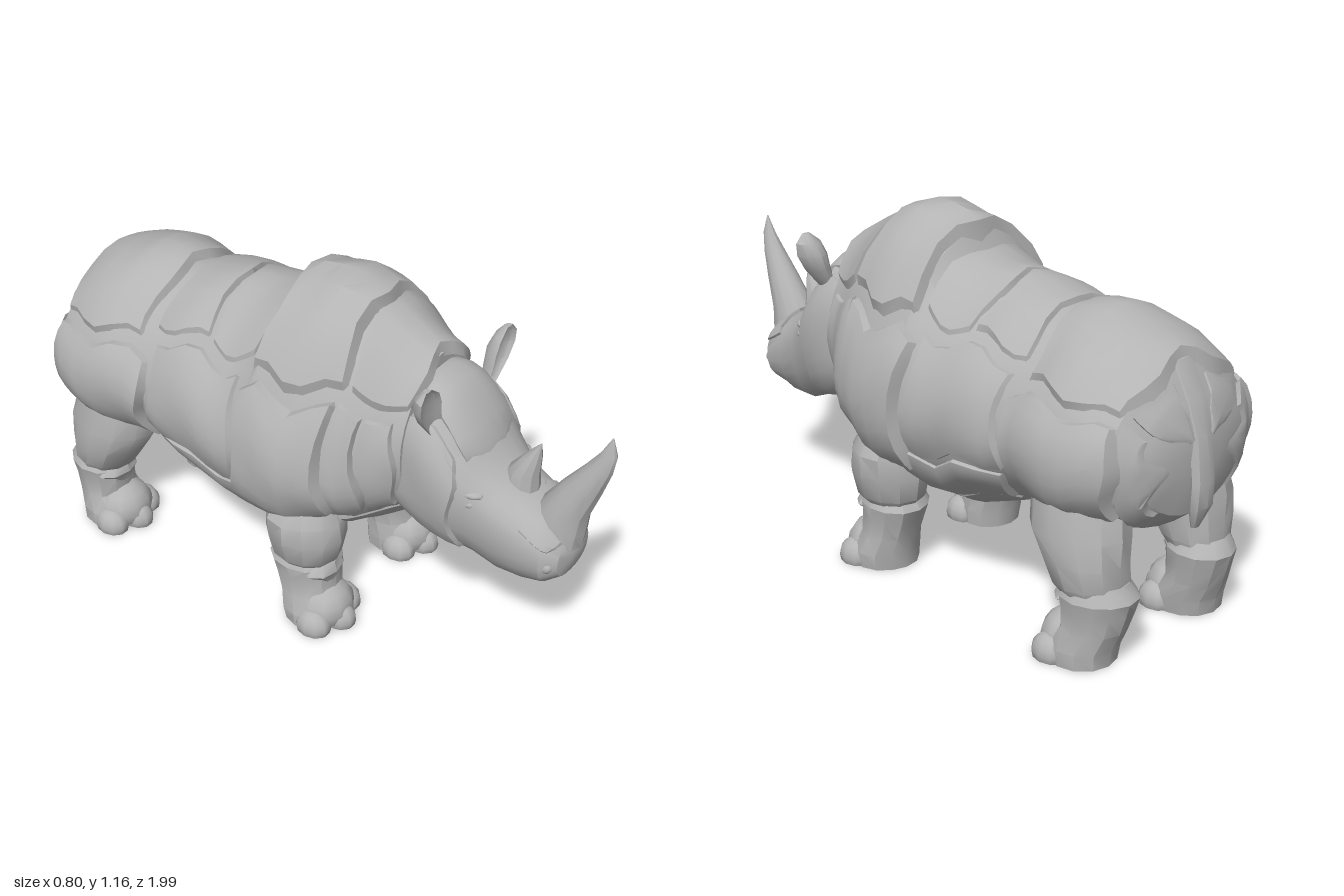
import * as THREE from 'three';
import { toCreasedNormals } from 'three/addons/utils/BufferGeometryUtils.js';

const stone = new THREE.MeshStandardMaterial({ color: 0xb4b4b4, side: THREE.DoubleSide });
stone.name = 'stone grey';

// Left-right symmetric unevenness of the stone skin
const bump = (x, y, z) => 0.006 * Math.sin(17 * Math.abs(x) + 11 * y) * Math.sin(19 * z + 9 * y + 1);

// Skin a grid of points (rows of equal length)
function skin(rows, crease = 0.55) {
  const n = rows[0].length, index = [];
  for (let i = 0; i < rows.length - 1; i++) {
    for (let j = 0; j < n - 1; j++) {
      const a = i * n + j, b = a + n;
      index.push(a, a + 1, b, a + 1, b + 1, b);
    }
  }
  const g = new THREE.BufferGeometry();
  g.setAttribute('position', new THREE.Float32BufferAttribute(rows.flat(2), 3));
  g.setIndex(index);
  return toCreasedNormals(g, crease);
}

// Mirror a non-indexed geometry in x and restore the corner order
function mirrored(g) {
  const m = g.clone().scale(-1, 1, 1);
  for (const name of ['position', 'normal']) {
    const a = m.attributes[name];
    for (let i = 0; i < a.count; i += 3) {
      const p = [a.getX(i + 1), a.getY(i + 1), a.getZ(i + 1)];
      a.setXYZ(i + 1, a.getX(i + 2), a.getY(i + 2), a.getZ(i + 2));
      a.setXYZ(i + 2, ...p);
    }
  }
  return m;
}

// Cross-sections, front to back: [z, bottom, top, half width, height of widest point]
const BODY = [
  [0.40, 0.46, 0.97, 0.21, 0.70], [0.32, 0.40, 1.02, 0.24, 0.66], [0.24, 0.35, 1.07, 0.30, 0.62],
  [0.08, 0.28, 1.12, 0.35, 0.59], [-0.07, 0.255, 1.09, 0.36, 0.59], [-0.10, 0.25, 1.03, 0.36, 0.60],
  [-0.20, 0.25, 1.00, 0.355, 0.60], [-0.40, 0.32, 0.98, 0.34, 0.62], [-0.52, 0.37, 0.95, 0.32, 0.62],
  [-0.65, 0.36, 0.97, 0.34, 0.63], [-0.80, 0.37, 0.93, 0.34, 0.63], [-0.88, 0.39, 0.89, 0.305, 0.63],
  [-0.94, 0.44, 0.79, 0.22, 0.63], [-0.965, 0.54, 0.70, 0.08, 0.63]];
const HEAD = [
  [0.90, 0.45, 0.49, 0.03, 0.47], [0.885, 0.40, 0.54, 0.09, 0.47], [0.84, 0.36, 0.585, 0.125, 0.48],
  [0.76, 0.34, 0.63, 0.13, 0.50], [0.68, 0.345, 0.665, 0.145, 0.54], [0.60, 0.37, 0.75, 0.17, 0.60],
  [0.53, 0.38, 0.86, 0.19, 0.64], [0.46, 0.40, 0.92, 0.195, 0.66], [0.34, 0.45, 0.92, 0.18, 0.66]];

// Point on the surface of a section table at length z and angle a (0 = top)
function surface(table, round, taper) {
  return (z, a, lift = 0) => {
    let i = 0;
    while (i < table.length - 2 && z < table[i + 1][0]) i++;
    const t = THREE.MathUtils.clamp((table[i][0] - z) / (table[i][0] - table[i + 1][0]), 0, 1);
    const [, bot, top, w, mid] = table[i].map((v, k) => THREE.MathUtils.lerp(v, table[i + 1][k], t));
    const s = Math.sin(a), c = Math.cos(a);
    const x = (w + lift) * Math.sign(s) * Math.abs(s) ** round * (c > 0 ? 1 - taper * c * c : 1);
    const y = mid + ((c > 0 ? top - mid : mid - bot) + lift) * Math.sign(c) * Math.abs(c) ** round;
    const k = 1 + bump(x, y, z) / Math.max(w, 0.1);
    return [x * k, mid + (y - mid) * k, z];
  };
}
const bodyAt = surface(BODY, 1, 0.16), headAt = surface(HEAD, 0.85, 0);

// Closed shell through every section
function shell(table, at, sides) {
  const rings = table.map(([z]) =>
    Array.from({ length: sides + 1 }, (_, j) => at(z, j / sides * Math.PI * 2)));
  const cap = ([z, , , , mid]) => Array(sides + 1).fill([0, mid, z]);
  return skin([cap(table[0]), ...rings, cap(table.at(-1))]);
}

// Raised slab over part of a surface, with a wavy outline and a bevelled rim
function plate(at, z0, z1, a0, a1, lift, nz = 5, na = 8) {
  const steps = n => [0, 0.04, ...Array.from({ length: n - 1 }, (_, i) => (i + 1) / n), 0.96, 1];
  const rad = Math.PI / 180, us = steps(nz), vs = steps(na);
  const across = a0 < 0 || a1 > 180, centre = (a0 + a1) / 2;
  return skin(us.map(u => vs.map(v => {
    const a = a0 + (a1 - a0) * v, q = Math.abs(across ? a - centre : a);
    const edge = z0 + (z1 - z0) * u;
    const z = edge + 0.013 * Math.sin(q * 0.1 + edge * 12) * Math.abs(2 * u - 1);
    const da = 4 * Math.sin(z * 24) * (across ? (centre > 90 ? 1 - 2 * v : 2 * v - 1) : 1);
    const rim = u === 0 || u === 1 || v === 0 || v === 1;
    return at(z, (a + da) * rad, rim ? -0.012 : lift * (1 - 0.55 * Math.abs(2 * v - 1) ** 3));
  })));
}

// Upright form from rings, bottom to top: [y, x, z, half width, half depth]
function column(rings, sides = 12, rough = 1, hollow = false) {
  const all = [[...rings[0].slice(0, 3), 0, 0], ...rings, [...rings.at(-1).slice(0, 3), 0, 0]];
  return skin(all.map(([y, x, z, rx, rz]) => Array.from({ length: sides + 1 }, (_, j) => {
    const a = j / sides * Math.PI * 2, c = Math.cos(a);
    const k = 1 + rough * 10 * bump(x + rx * Math.sin(a), y, z + rz * c);
    return [x + rx * Math.sin(a) * k, y, z + rz * (hollow && c > 0 ? -0.5 * c : c) * k];
  })));
}

export function createModel() {
  const model = new THREE.Group();
  const add = (name, geometry, parent = model) => {
    const m = new THREE.Mesh(geometry, stone);
    m.name = name;
    parent.add(m);
  };
  const pair = (name, geometry, parent) => {
    add('left' + name, geometry, parent);
    add('right' + name, mirrored(geometry), parent);
  };

  // Trunk and its armour
  add('body', shell(BODY, bodyAt, 28));
  add('napePlate', plate(bodyAt, 0.41, 0.225, -56, 56, 0.03));
  add('humpPlate', plate(bodyAt, 0.215, -0.08, -58, 58, 0.042));
  add('frontBackPlate', plate(bodyAt, -0.10, -0.295, -50, 50, 0.018));
  add('rearBackPlate', plate(bodyAt, -0.305, -0.50, -50, 50, 0.02));
  add('rumpPlate', plate(bodyAt, -0.535, -0.90, -62, 62, 0.028, 6, 10));
  add('bellyPlate', plate(bodyAt, 0.15, -0.46, 141, 219, 0.006));
  add('throatPlate', plate(bodyAt, 0.38, 0.18, 135, 225, 0.01));
  pair('NeckPlate', plate(bodyAt, 0.38, 0.295, 59, 132, 0.02));
  pair('CollarPlate', plate(bodyAt, 0.285, 0.205, 60, 128, 0.022));
  pair('ShoulderPlate', plate(bodyAt, 0.20, -0.11, 61, 127, 0.042));
  pair('FlankPlate', plate(bodyAt, -0.12, -0.49, 53, 111, 0.02, 6));
  pair('LowerFlankPlate', plate(bodyAt, -0.04, -0.48, 113, 139, 0.014));
  pair('ThighPlate', plate(bodyAt, -0.505, -0.895, 65, 134, 0.036, 6));
  pair('HindPlate', plate(bodyAt, -0.90, -0.945, 60, 140, 0.025));
  pair('ButtockPlate', plate(bodyAt, -0.905, -0.958, 16, 56, 0.015));

  // Tail
  add('tail', column([[0.40, 0, -0.955, 0.015, 0.01], [0.47, 0, -0.972, 0.045, 0.024],
    [0.55, 0, -0.974, 0.045, 0.026], [0.68, 0, -0.955, 0.04, 0.028], [0.79, 0, -0.92, 0.055, 0.03],
    [0.89, 0, -0.86, 0.05, 0.03]], 8));

  // Head and its armour
  const head = new THREE.Group();
  head.name = 'head';
  model.add(head);
  add('skull', shell(HEAD, headAt, 22), head);
  add('foreheadPlate', plate(headAt, 0.60, 0.39, -42, 42, 0.012), head);
  add('nosePlate', plate(headAt, 0.87, 0.76, -68, 68, 0.012), head);
  pair('CheekPlate', plate(headAt, 0.57, 0.36, 48, 140, 0.014), head);

  // Horns
  add('frontHorn', column([[0.50, 0, 0.825, 0.08, 0.085], [0.55, 0, 0.83, 0.078, 0.088],
    [0.62, 0, 0.845, 0.068, 0.08], [0.72, 0, 0.898, 0.05, 0.062], [0.80, 0, 0.942, 0.033, 0.043],
    [0.86, 0, 0.968, 0.018, 0.026], [0.92, 0, 0.975, 0.002, 0.002]], 12, 0), head);
  add('rearHorn', column([[0.62, 0, 0.70, 0.055, 0.055], [0.69, 0, 0.702, 0.046, 0.05],
    [0.75, 0, 0.728, 0.026, 0.028], [0.805, 0, 0.752, 0.002, 0.002]], 10, 0), head);

  // Ears, cupped towards the front
  pair('Ear', column([[0.82, 0.145, 0.49, 0.03, 0.04], [0.88, 0.18, 0.50, 0.045, 0.06],
    [0.93, 0.198, 0.505, 0.054, 0.066], [0.97, 0.208, 0.505, 0.046, 0.05],
    [1.0, 0.215, 0.50, 0.014, 0.02]], 14, 0, true), head);

  // Eyes, brows and nostrils
  const blob = (x, y, z, rx, ry, rz) =>
    new THREE.SphereGeometry(1, 10, 8).toNonIndexed().scale(rx, ry, rz).translate(x, y, z);
  pair('Eye', blob(0.150, 0.615, 0.61, 0.018, 0.015, 0.022), head);
  pair('Brow', blob(0.135, 0.645, 0.60, 0.03, 0.016, 0.05), head);
  pair('Nostril', blob(0.100, 0.46, 0.85, 0.018, 0.022, 0.024), head);

  // Legs: armoured upper part, lower part, knee guard and a foot with three toes
  const leg = (end, z, back, upper) => {
    pair(end + 'UpperLeg', column(upper));
    pair(end + 'LowerLeg', column([[0, 0.235, z + 0.01, 0.105, 0.10], [0.05, 0.235, z + 0.01, 0.112, 0.105],
      [0.11, 0.23, z - 0.01 + back, 0.098, 0.097], [0.17, 0.227, z - 0.02 + back, 0.102, 0.107],
      [0.215, 0.227, z - 0.025 + back, 0.109, 0.117], [0.26, 0.227, z - 0.025 + back, 0.085, 0.09]]));
    pair(end + 'KneeGuard', column([[0.16, 0.235, z + 0.055 + back, 0.03, 0.03],
      [0.20, 0.235, z + 0.04 + back, 0.085, 0.06], [0.235, 0.235, z + 0.03 + back, 0.06, 0.06]], 9));
    const grounded = (name, g) => {
      const p = g.attributes.position;
      for (let k = 0; k < p.count; k++) p.setY(k, Math.max(0, p.getY(k)));
      pair(end + name, g);
    };
    grounded('Instep', blob(0.235, 0.05, z + 0.055, 0.10, 0.09, 0.09));
    for (const i of [-1, 0, 1]) {
      grounded(['InnerToe', 'MiddleToe', 'OuterToe'][i + 1],
        blob(0.235 + i * 0.08, 0.02, z + 0.105 - Math.abs(i) * 0.04, 0.05, 0.058, 0.062));
    }
  };
  leg('Front', 0.095, 0, [[0.215, 0.23, 0.075, 0.085, 0.09], [0.25, 0.235, 0.075, 0.11, 0.115],
    [0.33, 0.237, 0.075, 0.124, 0.13], [0.40, 0.24, 0.075, 0.122, 0.125], [0.47, 0.235, 0.07, 0.09, 0.10]]);
  leg('Rear', -0.765, -0.012, [[0.205, 0.225, -0.79, 0.085, 0.09], [0.25, 0.23, -0.775, 0.108, 0.115],
    [0.32, 0.232, -0.75, 0.118, 0.138], [0.40, 0.23, -0.725, 0.122, 0.16], [0.50, 0.22, -0.71, 0.11, 0.16]]);
  return model;
}
